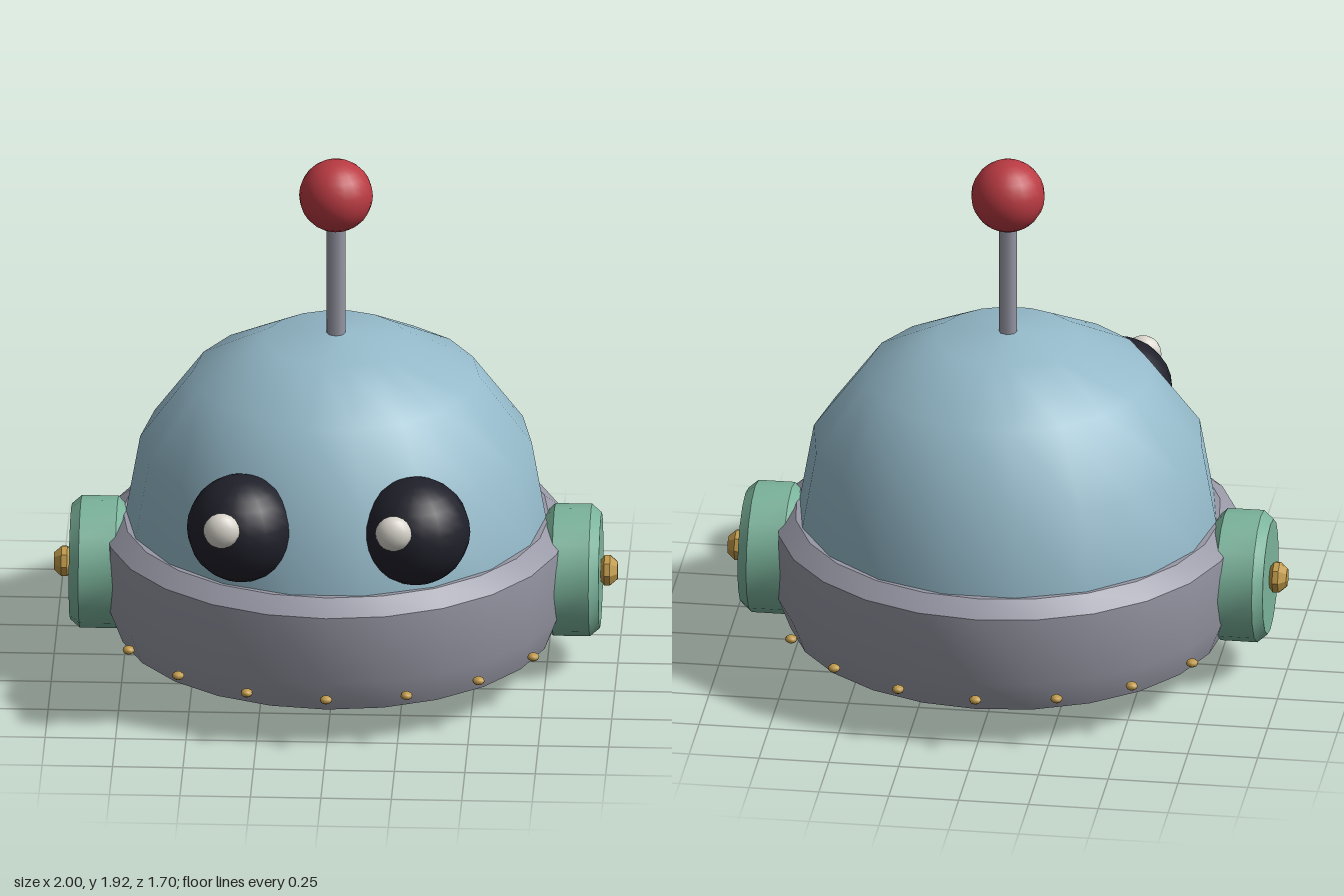
import * as THREE from 'three';
import { toCreasedNormals } from 'three/addons/utils/BufferGeometryUtils.js';

const material = (name, color) => {
  const m = new THREE.MeshStandardMaterial({ color });
  m.name = name;
  return m;
};

// Spun profile given as [radius, height] pairs from bottom to top
const spin = (points, sides, crease, start = 0) => {
  const geo = new THREE.LatheGeometry(points.map(([r, y]) => new THREE.Vector2(r, y)), sides, start);
  return crease === undefined ? geo : toCreasedNormals(geo, crease);
};

export function createModel() {
  const group = new THREE.Group();
  group.name = 'domedRobot';
  const grey = material('grey metal', 0x9898a6);
  const blue = material('pale blue dome', 0x94b9c9);
  const green = material('soft green', 0x7bb39b);
  const gold = material('brass', 0xc09a4a);
  const red = material('red', 0xb93a42);
  const black = material('near black', 0x20202b);
  const white = material('off white', 0xd9d5cc);

  const add = (name, geo, mat, x = 0, y = 0, z = 0) => {
    const mesh = new THREE.Mesh(geo, mat);
    mesh.name = name;
    mesh.position.set(x, y, z);
    group.add(mesh);
    return mesh;
  };

  // Foot and bevelled body ring
  add('foot', new THREE.CylinderGeometry(0.418, 0.418, 0.16, 24), grey, 0, 0.08, 0);
  add('body', spin([[0, 0.12], [0.42, 0.122], [0.775, 0.137], [0.82, 0.255], [0.82, 0.507],
    [0.757, 0.56], [0, 0.56]], 24, 0.55), grey);

  // Faceted-profile dome with smooth shading
  add('dome', spin([[0.752, 0.5], [0.745, 0.56], [0.695, 0.845], [0.508, 1.1], [0.254, 1.235],
    [0, 1.262]], 18, undefined, Math.PI / 2), blue);

  // Antenna
  add('antennaRod', new THREE.CylinderGeometry(0.033, 0.033, 0.5, 8), grey, 0, 1.45, 0);
  add('antennaBall', new THREE.SphereGeometry(0.131, 20, 14), red, 0, 1.788, 0);

  // Ears with brass bolts, and eyes with highlights
  const earGeo = spin([[0, -0.1], [0.2, -0.1], [0.235, -0.065], [0.235, 0.065], [0.205, 0.1], [0, 0.1]], 16, 0.5);
  const boltGeo = spin([[0, -0.035], [0.035, -0.03], [0.058, -0.012], [0.058, 0.008], [0.033, 0.035],
    [0, 0.035]], 8, 0.3);
  const eyeGeo = new THREE.SphereGeometry(0.193, 18, 14);
  const glintGeo = new THREE.SphereGeometry(0.065, 14, 10);
  for (const side of [1, -1]) {
    const label = side > 0 ? 'left' : 'right';
    add(label + 'Ear', earGeo, green, side * 0.84, 0.358, 0).rotation.z = -side * Math.PI / 2;
    add(label + 'EarBolt', boltGeo, gold, side * 0.965, 0.358, 0).rotation.z = -side * Math.PI / 2;
    add(label + 'Eye', eyeGeo, black, side * 0.31, 0.763, 0.612);
    add(label + 'EyeGlint', glintGeo, white, side * 0.305 - 0.067, 0.829, 0.796).scale.z = 0.74;
  }

  // Ring of rivets round the lower edge
  const rivetGeo = new THREE.SphereGeometry(0.022, 8, 6);
  for (let i = 0; i < 18; i++) {
    const a = i * Math.PI / 9;
    const rivet = add('rivet', rivetGeo, gold, 0.829 * Math.sin(a), 0.198, 0.829 * Math.cos(a));
    rivet.scale.y = 0.68;
    rivet.rotation.y = a;
  }
  return group;
}
